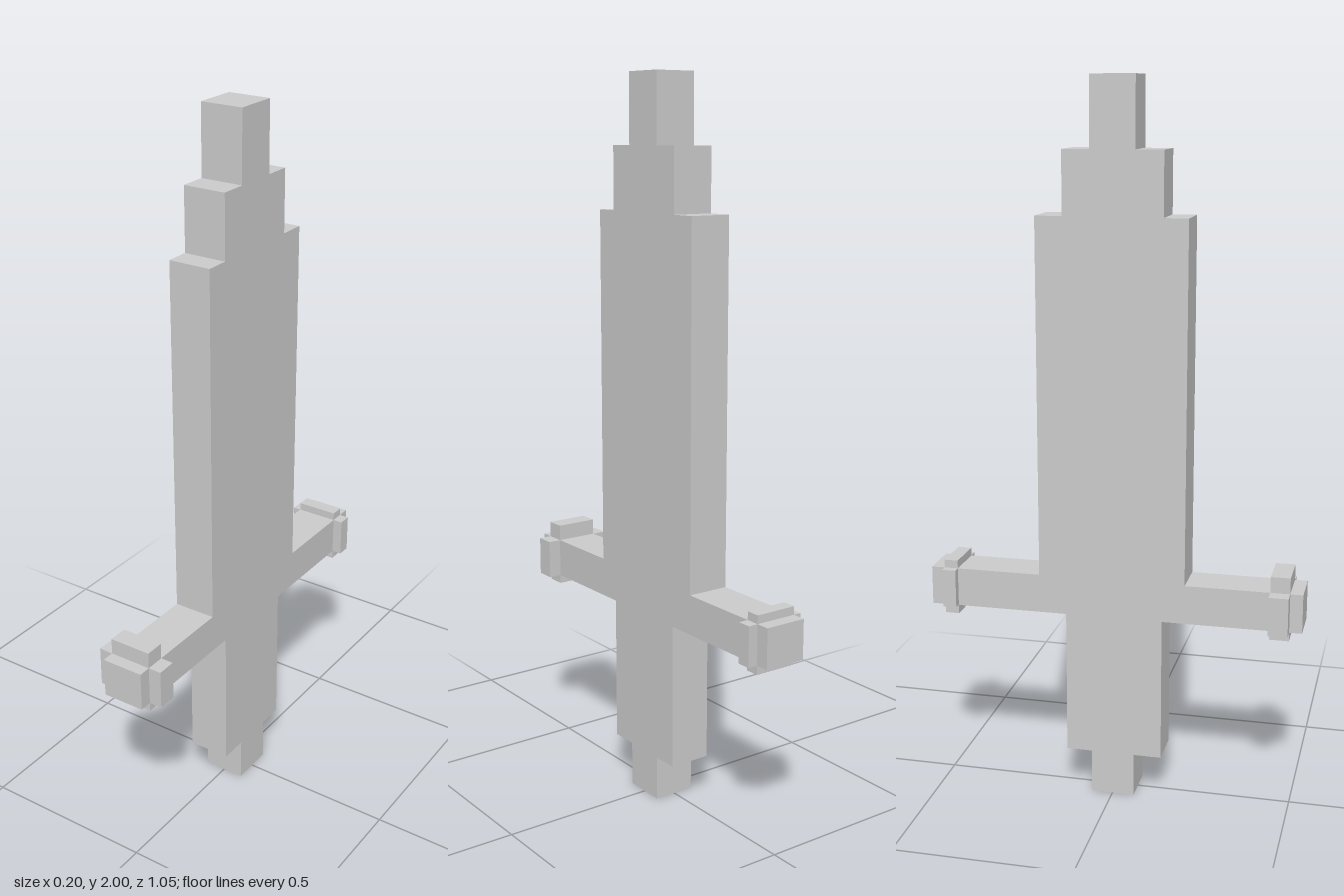
import * as THREE from 'three';

const material = new THREE.MeshStandardMaterial({ color: 0xcccccc, flatShading: true });
const HALF = 0.06; // half thickness of the flat body
const GUARD = [0.535, 0.645]; // bottom and top of the crossguard

function extrude(name, points, depth) {
  const shape = new THREE.Shape(points.map(([x, y]) => new THREE.Vector2(x, y)));
  const geometry = new THREE.ExtrudeGeometry(shape, { depth, bevelEnabled: false });
  const mesh = new THREE.Mesh(geometry, material);
  mesh.name = name;
  return mesh;
}

// Cross-shaped band around a guard arm: side flaps plus top and bottom flaps
function collar(name, [x0, x1], [y0, y1], [z0, z1]) {
  const [g0, g1] = GUARD;
  const mesh = extrude(name, [
    [-HALF, y0], [HALF, y0], [HALF, g0], [x1, g0], [x1, g1], [HALF, g1],
    [HALF, y1], [-HALF, y1], [-HALF, g1], [x0, g1], [x0, g0], [-HALF, g0],
  ], z1 - z0);
  mesh.position.z = z0;
  return mesh;
}

export function createModel() {
  const group = new THREE.Group();
  group.name = 'steppedSword';

  // Steps from pommel to tip: back z, front z, bottom y, top y
  const steps = [
    [-0.06, 0.062, 0, 0.125],      // pommel
    [-0.133, 0.14, 0.125, GUARD[0]], // grip
    [-0.527, 0.527, ...GUARD],     // crossguard
    [-0.21, 0.203, GUARD[1], 1.64], // blade
    [-0.135, 0.137, 1.64, 1.812],  // blade shoulder
    [-0.06, 0.062, 1.812, 2],      // tip
  ];
  const front = steps.flatMap(([, z, y0, y1]) => [[z, y0], [z, y1]]);
  const back = steps.flatMap(([z, , y0, y1]) => [[z, y0], [z, y1]]).reverse();
  const body = extrude('swordBody', [...front, ...back], HALF * 2);
  body.rotation.y = -Math.PI / 2;
  body.position.x = HALF;
  group.add(body);

  // The front collar is slightly larger than the back one
  group.add(collar('frontGuardCollar', [-0.1, 0.097], [0.51, 0.69], [0.438, 0.492]));
  group.add(collar('backGuardCollar', [-0.082, 0.088], [0.51, 0.668], [-0.489, -0.45]));

  return group;
}
